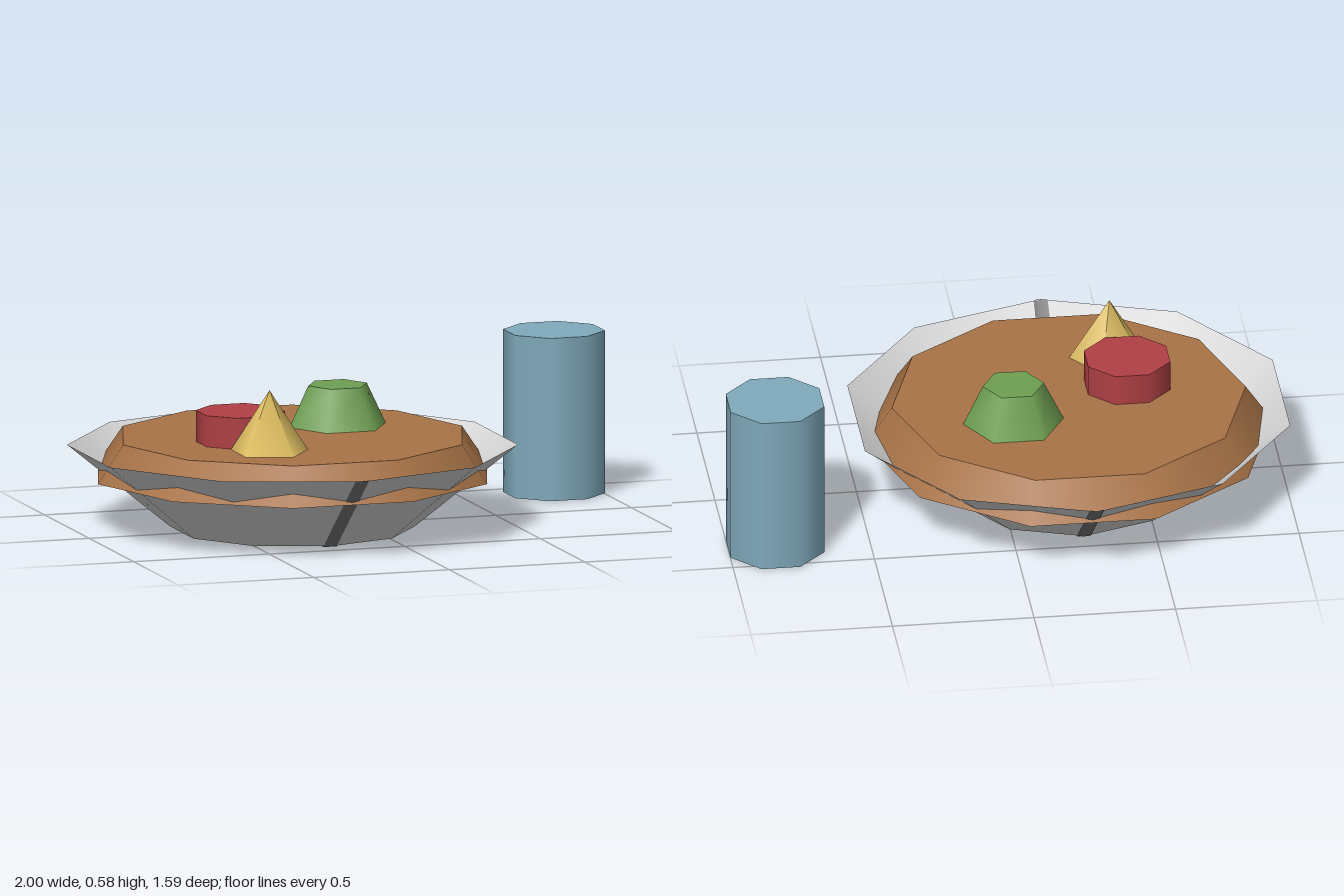
import * as THREE from 'three';

const mat = (name, color, side = THREE.FrontSide) => {
  const m = new THREE.MeshStandardMaterial({ color, side });
  m.name = name;
  return m;
};

export function createModel() {
  const model = new THREE.Group();
  model.name = 'platedMeal';

  const grey = mat('paleGrey', 0xd8d8d8, THREE.DoubleSide);
  const dark = mat('darkGrey', 0x777777, THREE.DoubleSide);
  const brown = mat('brown', 0xa87347);
  const red = mat('red', 0xb04045);
  const green = mat('green', 0x6fa052);
  const yellow = mat('yellow', 0xdcbc60);
  const blue = mat('blue', 0x80aabc);

  const add = (name, geometry, material, x = 0, y = 0, z = 0, parent = model) => {
    const mesh = new THREE.Mesh(geometry, material);
    mesh.name = name;
    mesh.position.set(x, y, z);
    parent.add(mesh);
    return mesh;
  };

  // Prism or frustum given by its bottom and top heights
  const frustum = (name, material, sides, rTop, rBottom, y0, y1, x, z, turn = 0) =>
    add(name, new THREE.CylinderGeometry(rTop, rBottom, y1 - y0, sides).rotateY(turn),
      material, x, (y0 + y1) / 2, z);

  // Open ten-sided dish with a flat base
  const R = 0.79, r = 0.43, y0 = 0.012, y1 = 0.302, cx = -0.25;
  const dish = new THREE.Group();
  dish.name = 'dish';
  dish.position.x = cx;
  model.add(dish);
  add('dishWall', new THREE.CylinderGeometry(R, r, y1 - y0, 10, 1, true), grey, 0, (y0 + y1) / 2, 0, dish);
  add('dishBase', new THREE.CircleGeometry(r, 10, Math.PI / 2).rotateX(Math.PI / 2), grey, 0, y0, 0, dish);

  // Dark band folded over the wall corners, on the outer and inner faces
  const bandStrip = (offset) => {
    const w = 0.025, fold = w * Math.tan(Math.PI / 10);
    const points = [];
    for (const [rad, y] of [[r, y0], [R, y1]]) {
      for (const x of [-w, 0, w]) points.push(x, y, rad + offset - (x ? fold : 0));
    }
    const g = new THREE.BufferGeometry();
    g.setAttribute('position', new THREE.Float32BufferAttribute(points, 3));
    g.setIndex([0, 1, 4, 0, 4, 3, 1, 2, 5, 1, 5, 4]);
    g.computeVertexNormals();
    return g;
  };
  for (const turn of [0, Math.PI]) {
    for (const offset of [0.003, -0.003]) {
      add('dishBand', bandStrip(offset), dark, 0, 0, 0, dish).rotation.y = turn;
    }
  }
  add('baseBand', new THREE.BoxGeometry(0.05, 0.005, 2 * r - 0.01), dark, 0, y0, 0, dish);

  // Filling, turned so its corners fall between those of the dish
  frustum('filling', brown, 10, 0.625, 0.717, 0.2, 0.335, cx, 0, Math.PI / 2);

  // Food pieces on top
  frustum('redPiece', red, 8, 0.157, 0.157, 0.33, 0.446, -0.465, 0.07, Math.PI / 8);
  frustum('greenPiece', green, 6, 0.108, 0.18, 0.33, 0.48, -0.035, -0.15, Math.PI / 2);
  add('yellowPiece', new THREE.ConeGeometry(0.145, 0.223, 5).rotateY(Math.PI / 2),
    yellow, -0.43, 0.442, 0.29);

  // Drinking cup beside the dish
  frustum('cup', blue, 8, 0.179, 0.179, y0, 0.591, 0.834, -0.364, Math.PI / 8);

  return model;
}
